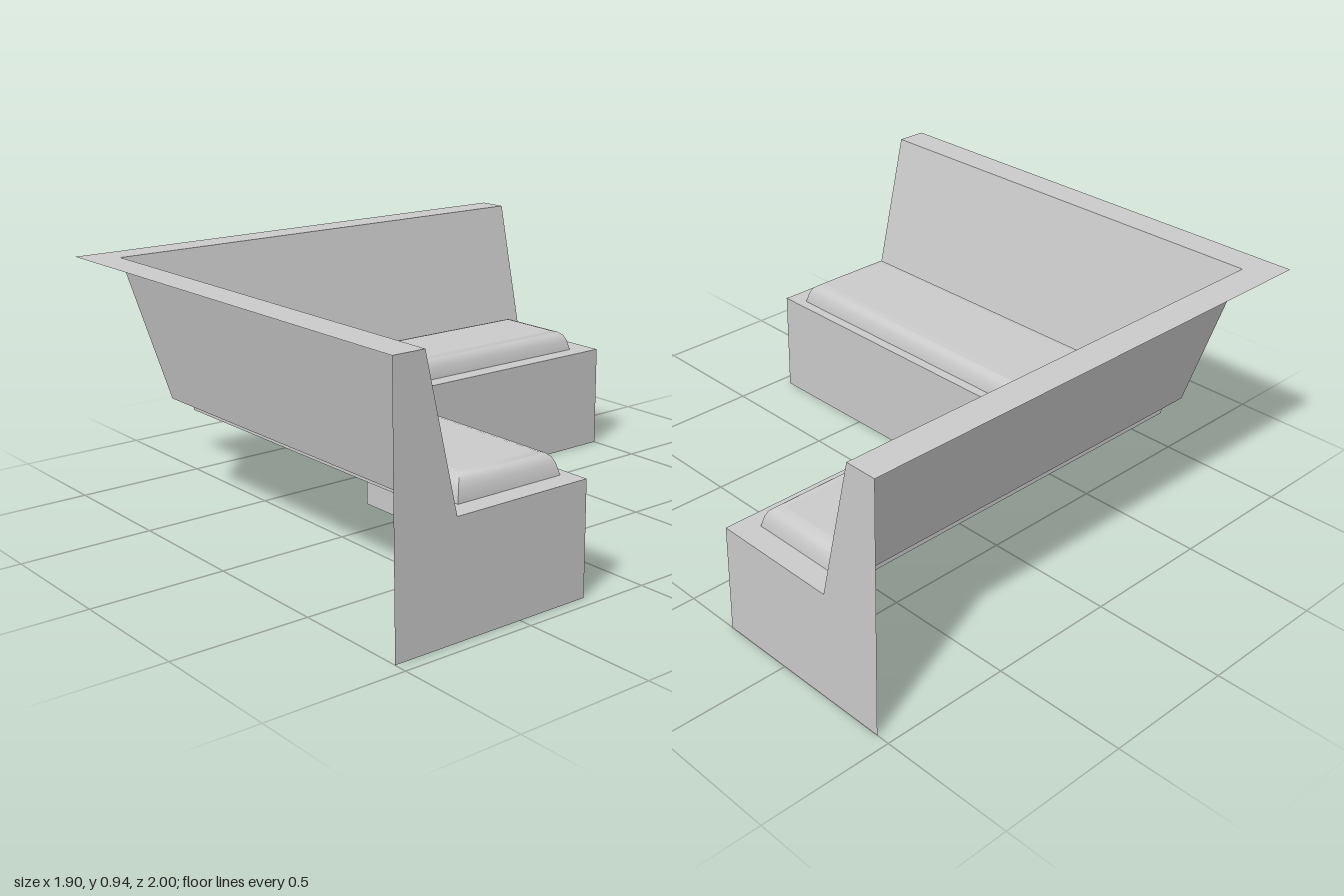
import * as THREE from 'three';
import { toCreasedNormals } from 'three/addons/utils/BufferGeometryUtils.js';

// Shell of outer walls and underside is open, so both sides are drawn.
const grey = new THREE.MeshStandardMaterial({ color: 0xcccccc, side: THREE.DoubleSide });

// Skin rows of [x, y, z] points with quads; `closed` joins each row into a ring.
function skin(rows, closed, crease) {
  const n = rows[0].length;
  const index = [];
  for (let r = 0; r < rows.length - 1; r++) {
    for (let i = 0; i < (closed ? n : n - 1); i++) {
      const a = r * n + i, b = r * n + (i + 1) % n;
      index.push(a, b, a + n, b, b + n, a + n);
    }
  }
  const geo = new THREE.BufferGeometry();
  geo.setAttribute('position', new THREE.Float32BufferAttribute(rows.flat(2), 3));
  geo.setIndex(index);
  return toCreasedNormals(geo, crease);
}

function flatShape(points) {
  return new THREE.ShapeGeometry(new THREE.Shape(points.map(p => new THREE.Vector2(...p))));
}

export function createModel() {
  const sofa = new THREE.Group();
  sofa.name = 'cornerSofa';
  const add = (name, geo) => {
    const mesh = new THREE.Mesh(geo, grey);
    mesh.name = name;
    sofa.add(mesh);
    return mesh;
  };

  // Body profile from the outer top edge to the floor: x of the side arm, z of the front arm, y
  const profile = [
    [-0.95, 1, 0.945], [-0.83, 0.88, 0.945], [-0.71, 0.76, 0.41],
    [-0.22, 0.22, 0.41], [-0.22, 0.22, 0],
  ];
  const bands = ['backrestTop', 'backrestSlope', 'seat', 'seatFront'];
  bands.forEach((name, i) => {
    const rows = profile.slice(i, i + 2).map(([x, z, y]) => [[x, y, -1], [x, y, z], [0.95, y, z]]);
    add(name, skin(rows, false, 0.3));
  });

  // Closed ends of the two arms
  const sideEnd = flatShape([[0.95, 0], ...profile.map(([x, , y]) => [-x, y])]);
  add('sideArmEnd', sideEnd.rotateY(Math.PI).translate(0, 0, -1));
  const frontEnd = flatShape([[-1, 0], ...profile.map(([, z, y]) => [-z, y])]);
  add('frontArmEnd', frontEnd.rotateY(Math.PI / 2).translate(0.95, 0, 0));

  // L-shaped cushion with a rounded upper edge; its outline shrinks by d
  const outline = d => [
    [-0.675 + d, 0.69 - d], [0.87 - d, 0.69 - d], [0.87 - d, 0.26 + d],
    [-0.29 - d, 0.26 + d], [-0.29 - d, -0.91 + d], [-0.675 + d, -0.91 + d],
  ];
  const edge = [[0, 0.36], [0, 0.41], [0.01, 0.45], [0.02, 0.472], [0.036, 0.485], [0.058, 0.49]];
  add('cushionSides', skin(edge.map(([d, y]) => outline(d).map(([x, z]) => [x, y, z])), true, 0.8));
  const top = flatShape(outline(0.058).map(([x, z]) => [x, -z]));
  add('cushionTop', top.rotateX(-Math.PI / 2).translate(0, 0.49, 0));

  return sofa;
}
